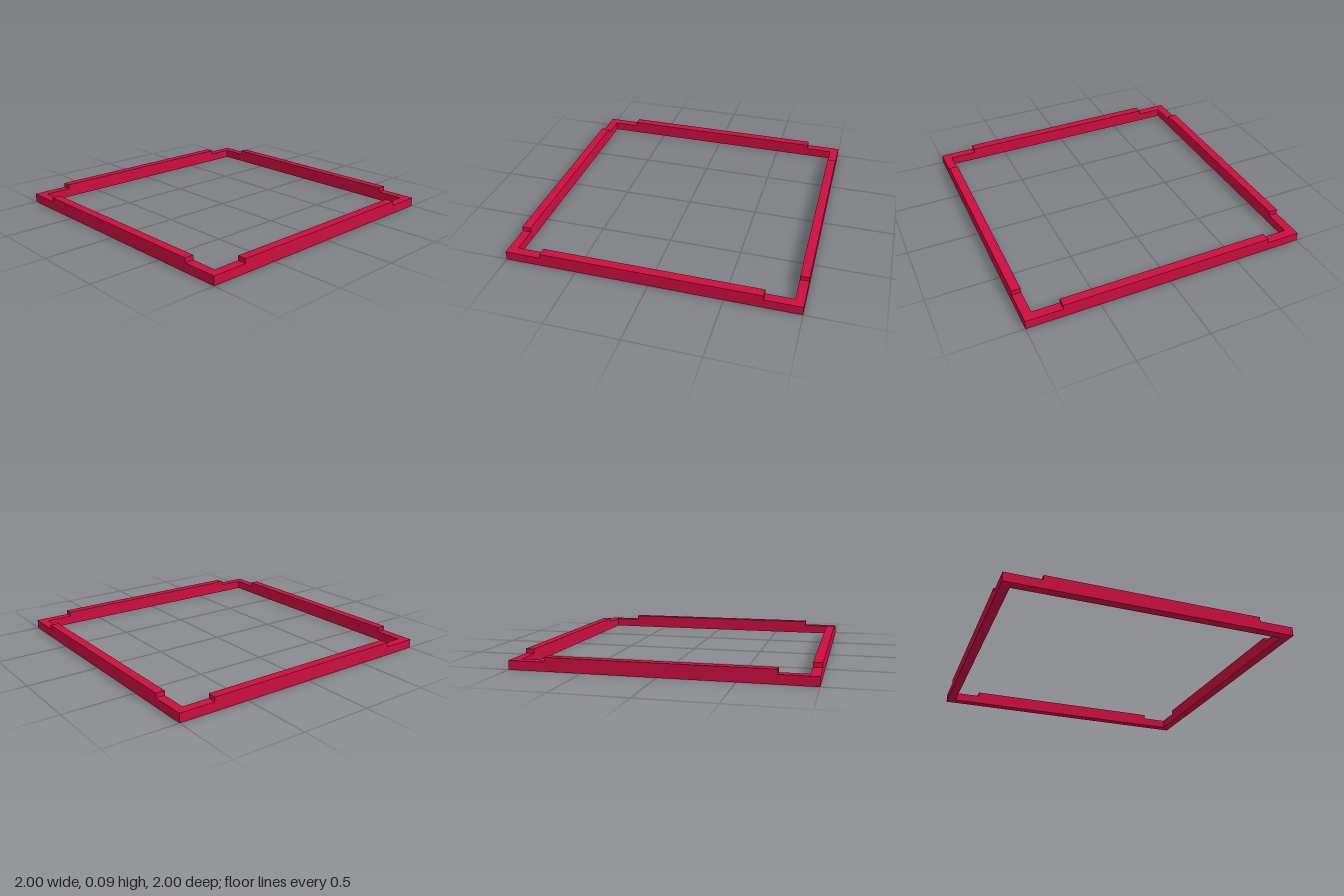
import * as THREE from 'three';

const HALF = 1;          // half the outer side
const RAIL = 0.0625;     // rail width and base height
const RIDGE_H = 0.0315;  // height of the raised ridges
const RIDGE_L = 1.5;     // length of the raised ridges

function square(PathType, h) {
  return new PathType([[-h, -h], [h, -h], [h, h], [-h, h]].map(([x, y]) => new THREE.Vector2(x, y)));
}

export function createModel() {
  const group = new THREE.Group();
  group.name = 'squareFrame';
  const crimson = new THREE.MeshStandardMaterial({ color: 0xcc0e40 });
  crimson.name = 'crimson';

  // Square base ring
  const outline = square(THREE.Shape, HALF);
  outline.holes.push(square(THREE.Path, HALF - RAIL));
  const baseGeometry = new THREE.ExtrudeGeometry(outline, { depth: RAIL, bevelEnabled: false });
  baseGeometry.rotateX(-Math.PI / 2);
  const base = new THREE.Mesh(baseGeometry, crimson);
  base.name = 'baseFrame';
  group.add(base);

  // Raised ridge along the middle of each rail, leaving the corners low
  const ridgeGeometry = new THREE.BoxGeometry(RIDGE_L, RIDGE_H, RAIL);
  ridgeGeometry.translate(0, RAIL + RIDGE_H / 2, HALF - RAIL / 2);
  ['frontRidge', 'leftRidge', 'backRidge', 'rightRidge'].forEach((name, i) => {
    const ridge = new THREE.Mesh(ridgeGeometry, crimson);
    ridge.name = name;
    ridge.rotation.y = i * Math.PI / 2;
    group.add(ridge);
  });

  return group;
}
